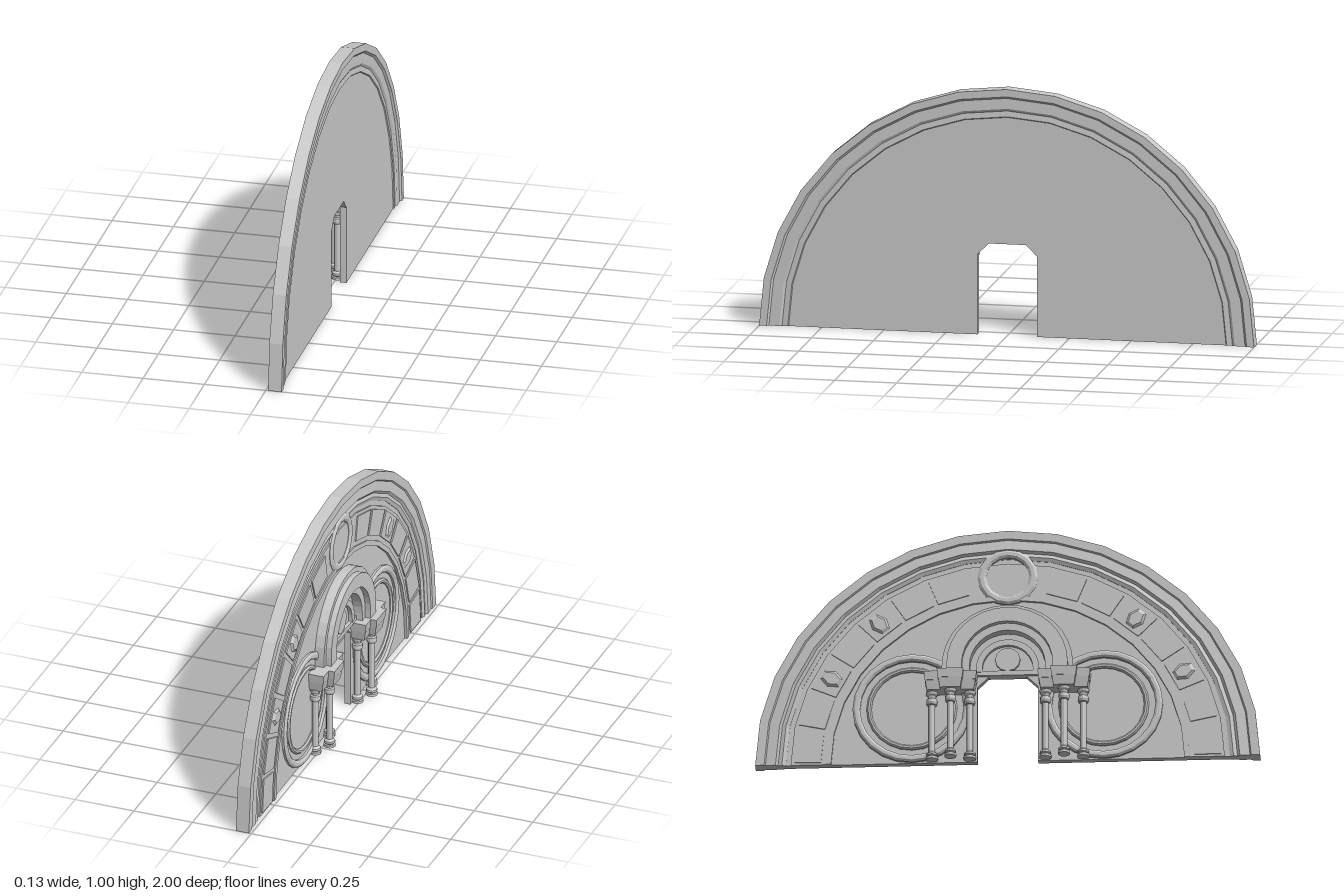
import * as THREE from 'three';

const mat = new THREE.MeshStandardMaterial({ color: 0xcccccc, flatShading: true, side: THREE.DoubleSide });

export function createModel() {
  const group = new THREE.Group();
  const add = (name, geo, parent = group) => {
    const mesh = new THREE.Mesh(geo, mat);
    mesh.name = name;
    parent.add(mesh);
    return mesh;
  };

  // Shape drawn in (z, y), extruded from x = xBack out to x = xFace
  const slab = (shape, xBack, xFace) =>
    new THREE.ExtrudeGeometry(shape, { depth: xBack - xFace, bevelEnabled: false })
      .rotateY(-Math.PI / 2).translate(xBack, 0, 0);

  const polar = (r, a, cy = 0) => new THREE.Vector2(r * Math.cos(a), cy + r * Math.sin(a));
  const arc = (r, a0, a1, n, cy = 0) =>
    Array.from({ length: n + 1 }, (_, i) => polar(r, a0 + (a1 - a0) * i / n, cy));
  const sector = (ri, ro, a0, a1, n) =>
    new THREE.Shape([...arc(ro, a0, a1, n), ...arc(ri, a1, a0, n)]);
  const stilted = (ri, ro, cy, base, n = 16) => new THREE.Shape([
    new THREE.Vector2(ro, base), ...arc(ro, 0, Math.PI, n, cy), new THREE.Vector2(-ro, base),
    new THREE.Vector2(-ri, base), ...arc(ri, Math.PI, 0, n, cy), new THREE.Vector2(ri, base)]);

  // Closed (radius, x) profile swept round the x axis
  const sweep = (profile, n, full) => {
    const pts = [...profile, profile[0]].map(p => new THREE.Vector2(p[0], p[1]));
    return new THREE.LatheGeometry(pts, n, Math.PI, full ? Math.PI * 2 : Math.PI).rotateZ(-Math.PI / 2);
  };

  // Wall panel with the chamfered doorway
  const door = [[-0.12, 0], [-0.12, 0.325], [-0.075, 0.37], [0.075, 0.37], [0.12, 0.325], [0.12, 0]];
  add('wallPanel', slab(new THREE.Shape([
    ...arc(0.95, 0, Math.PI, 16), ...door.map(p => new THREE.Vector2(...p))]), 0.05, 0.024));

  // Moulded rim, with end caps on the ground
  const rim = [[0.88, 0.022], [0.895, 0.016], [0.91, 0.02], [0.92, 0.012], [0.96, 0.015], [0.965, 0.01],
    [1, 0.01], [1, 0.065], [0.97, 0.065], [0.962, 0.057], [0.92, 0.058], [0.91, 0.052], [0.887, 0.054], [0.88, 0.046]];
  add('rim', sweep(rim, 16));
  for (const s of [1, -1]) {
    const cap = new THREE.ShapeGeometry(new THREE.Shape(rim.map(p => new THREE.Vector2(...p))));
    cap.applyMatrix4(new THREE.Matrix4().makeBasis(
      new THREE.Vector3(0, 0, s), new THREE.Vector3(1, 0, 0), new THREE.Vector3(0, s, 0)));
    add('rimEnd', cap);
  }

  // Frieze: thin band, raised blocks and edge fillet
  add('friezeBand', slab(sector(0.7, 0.86, 0, Math.PI, 16), 0.03, 0.018));
  add('friezeFillet', slab(sector(0.7, 0.72, 0, Math.PI, 16), 0.03, 0.013));
  const step = Math.PI / 16;
  for (let i = 0; i < 16; i++) {
    if (i === 7 || i === 8) continue;
    add('friezeBlock', slab(sector(0.74, 0.845, (i + 0.06) * step, (i + 0.94) * step, 1), 0.03, 0.013));
  }

  // Faceted studs on the frieze
  for (const deg of [28, 50, 130, 152]) {
    const a = deg * Math.PI / 180, c = polar(0.79, a);
    const stud = new THREE.CylinderGeometry(0.035, 0.075, 0.022, 6).rotateZ(Math.PI / 2);
    stud.scale(1, 1, 0.75).rotateX(Math.PI / 2 - a);
    add('friezeStud', stud.translate(0.017, c.y, c.x));
  }

  // Round frames: crown medallion and two side roundels
  const frame = (name, ri, ro, x, y, z, n = 24) => {
    const m = (ro - ri) * 0.3;
    add(name, sweep([[ri, 0.03], [ri, x + 0.006], [ri + m, x], [ro - m, x], [ro, x + 0.006], [ro, 0.03]], n, true)
      .translate(0, y, z));
  };
  frame('crownMedallion', 0.085, 0.12, 0.01, 0.8, 0, 16);
  for (const s of [1, -1]) {
    frame('roundelOuter', 0.205, 0.235, 0.009, 0.237, s * 0.38);
    frame('roundelInner', 0.16, 0.18, 0.014, 0.237, s * 0.38);
  }

  // Portal arch in stepped orders
  const cy = 0.405, base = 0.365;
  add('archOuter', slab(stilted(0.21, 0.26, cy, base), 0.03, -0.015));
  add('archMiddle', slab(stilted(0.18, 0.24, cy, base), 0.03, -0.038));
  add('archInner', slab(stilted(0.15, 0.19, cy, base), 0.03, -0.015));
  add('lunetteRing', slab(stilted(0.1, 0.125, 0.4, 0.385), 0.03, 0.008));
  add('lintel', new THREE.BoxGeometry(0.02, 0.02, 0.3).translate(0.02, 0.38, 0));
  add('lunetteBoss', new THREE.CylinderGeometry(0.05, 0.05, 0.016, 12).rotateZ(Math.PI / 2).translate(0.02, 0.44, 0));

  // Supports: tapered impost blocks over three columns on each side
  const block = (z, w, xFace, y0, y1, inset) => {
    const g = new THREE.BoxGeometry(0.03 - xFace, y1 - y0, w).translate((0.03 + xFace) / 2, (y0 + y1) / 2, 0);
    const p = g.attributes.position;
    for (let i = 0; i < p.count; i++) {
      if (p.getY(i) > (y0 + y1) / 2) continue;
      p.setZ(i, p.getZ(i) - Math.sign(p.getZ(i)) * inset);
      if (p.getX(i) < 0) p.setX(i, p.getX(i) + inset);
    }
    return g.translate(0, 0, z);
  };
  const columnProfile = [[0, 0.004], [0.024, 0.004], [0.024, 0.014], [0.019, 0.017], [0.023, 0.022], [0.022, 0.03],
    [0.016, 0.034], [0.013, 0.038], [0.013, 0.24], [0.019, 0.242], [0.022, 0.252], [0.021, 0.266], [0.015, 0.27],
    [0.016, 0.278], [0.022, 0.285], [0.024, 0.297], [0, 0.297]].map(p => new THREE.Vector2(...p));
  for (const s of [1, -1]) {
    const support = new THREE.Group();
    support.name = s > 0 ? 'leftSupport' : 'rightSupport';
    group.add(support);
    for (const [w, x] of [[0.21, -0.042], [0.105, -0.067]]) {
      add('impostTop', block(s * 0.225, w, x, 0.335, 0.372, 0.004), support);
      add('impostBottom', block(s * 0.225, w - 0.01, x + 0.005, 0.295, 0.337, 0.007), support);
    }
    for (const [x, z] of [[-0.025, 0.225], [0.006, 0.15], [0.006, 0.3]])
      add('column', new THREE.LatheGeometry(columnProfile, 12).translate(x, 0, s * z), support);
  }
  return group;
}
